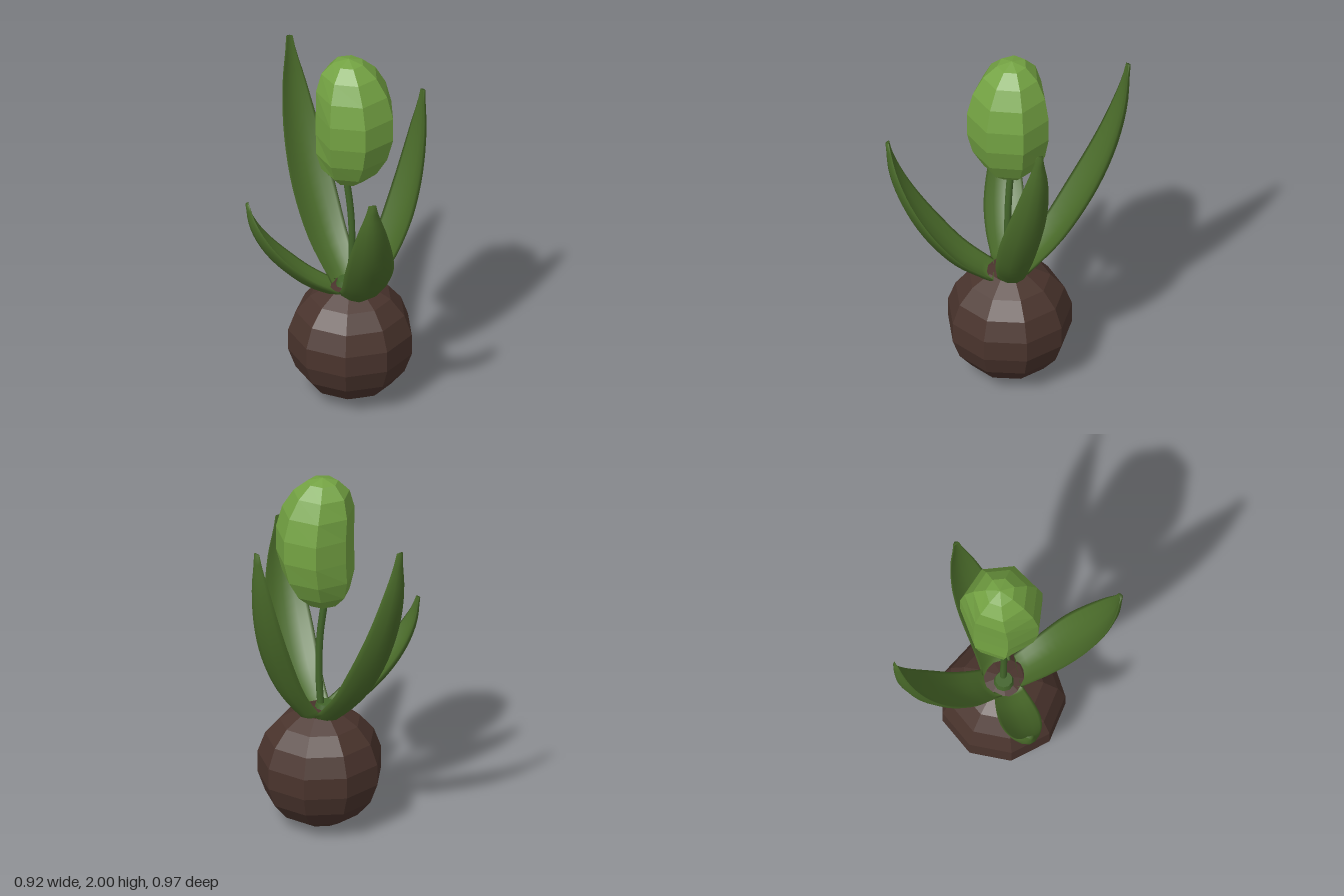
import * as THREE from 'three';

const rad = THREE.MathUtils.degToRad;
const leafMat = new THREE.MeshStandardMaterial({ color: 0x4a6b2a, side: THREE.DoubleSide });
const stemMat = new THREE.MeshStandardMaterial({ color: 0x42642a });
const headMat = new THREE.MeshStandardMaterial({ color: 0x74a343, flatShading: true });
const bulbMat = new THREE.MeshStandardMaterial({ color: 0x4a342d, flatShading: true });

// Outward reach and height of a leaf's midrib, both as fractions
const RIB = [[0.03, 0], [0.32, 0.145], [0.55, 0.315], [0.73, 0.485], [0.86, 0.65], [0.95, 0.82], [1, 1]];
// Half width along the leaf, from foot to tip
const HALF_WIDTH = new THREE.SplineCurve([[0, 0.085], [0.2, 0.108], [0.4, 0.117], [0.6, 0.102], [0.8, 0.068], [1, 0.018]]
  .map(([t, w]) => new THREE.Vector2(t, w)));

// Cupped, lens-shaped blade swept along a curved midrib
function leafGeometry({ base, tip, scale, bow }) {
  const foot = new THREE.Vector3(...base);
  const span = new THREE.Vector3(...tip).sub(foot);
  const side = new THREE.Vector3(-span.z, 0, span.x).normalize();
  const curve = new THREE.CatmullRomCurve3(RIB.map(([d, h]) =>
    new THREE.Vector3(span.x * d, span.y * h, span.z * d).add(foot)
      .addScaledVector(side, bow * Math.sin(Math.PI * d))));
  const rings = 20, n = 12, pos = [], index = [];
  for (let j = 0; j <= rings; j++) {
    const t = j / rings;
    const c = curve.getPointAt(t);
    const out = curve.getTangentAt(t).cross(side).normalize();
    const w = HALF_WIDTH.getPoint(t).y * scale;
    const thick = 0.006 + 0.11 * w;
    for (let i = 0; i < n; i++) {
      const a = (i / n) * Math.PI * 2, s = Math.cos(a);
      const p = c.clone().addScaledVector(side, w * s)
        .addScaledVector(out, thick * Math.sin(a) + 0.5 * w * (0.5 - s * s));
      pos.push(p.x, p.y, p.z);
    }
  }
  for (let j = 0; j < rings; j++) {
    for (let i = 0; i < n; i++) {
      const a = j * n + i, b = j * n + (i + 1) % n;
      index.push(a, b, b + n, a, b + n, a + n);
    }
  }
  // end caps
  for (let i = 1; i < n - 1; i++) {
    const e = rings * n;
    index.push(0, i + 1, i, e, e + i, e + i + 1);
  }
  const g = new THREE.BufferGeometry();
  g.setAttribute('position', new THREE.Float32BufferAttribute(pos, 3));
  g.setIndex(index);
  g.computeVertexNormals();
  return g;
}

// Seven-sided bud, dented on one side and leaning to the other in the middle
function budGeometry() {
  const g = new THREE.SphereGeometry(1, 7, 9, Math.PI);
  const p = g.attributes.position;
  for (let i = 0; i < p.count; i++) {
    const x = p.getX(i), y = p.getY(i), c = 1 - y * y;
    const dent = x < 0 ? 1.13 - 0.27 * c * c : 1;
    p.setXYZ(i, 0.06 + 0.03 * c + 0.225 * x * dent, 1.627 + 0.373 * y, -0.067 + 0.225 * p.getZ(i));
  }
  return g;
}

export function createModel() {
  const model = new THREE.Group();
  const add = (name, geometry, material) => {
    const mesh = new THREE.Mesh(geometry, material);
    mesh.name = name;
    model.add(mesh);
    return mesh;
  };

  // Faceted bulb
  add('bulb', new THREE.SphereGeometry(0.333, 9, 9, rad(68)), bulbMat).position.set(0.075, 0.335, -0.06);

  add('flowerBud', budGeometry(), headMat);

  // Slightly bent stem and its collar
  const path = new THREE.CatmullRomCurve3([[0.07, 0.62], [0.083, 0.85], [0.078, 1.07], [0.05, 1.3]]
    .map(([x, y]) => new THREE.Vector3(x, y, -0.055)));
  add('stem', new THREE.TubeGeometry(path, 14, 0.019, 8), stemMat);
  add('stemCollar', new THREE.CylinderGeometry(0.045, 0.06, 0.055, 10), stemMat).position.set(0.055, 0.66, -0.045);

  // Four leaves
  const leaves = [
    { name: 'backRightLeaf', base: [0.035, 0.635, -0.095], tip: [-0.445, 1.81, -0.465], scale: 1.05, bow: -0.01 },
    { name: 'backLeftLeaf', base: [0.11, 0.635, -0.11], tip: [0.335, 1.69, -0.41], scale: 1.02, bow: 0.04 },
    { name: 'frontLeftLeaf', base: [0.13, 0.635, 0], tip: [0.42, 1.48, 0.47], scale: 1.1, bow: -0.025 },
    { name: 'frontRightLeaf', base: [0.03, 0.635, -0.015], tip: [-0.375, 1.2, 0.255], scale: 0.92, bow: -0.005 },
  ];
  for (const leaf of leaves) add(leaf.name, leafGeometry(leaf), leafMat);

  return model;
}
